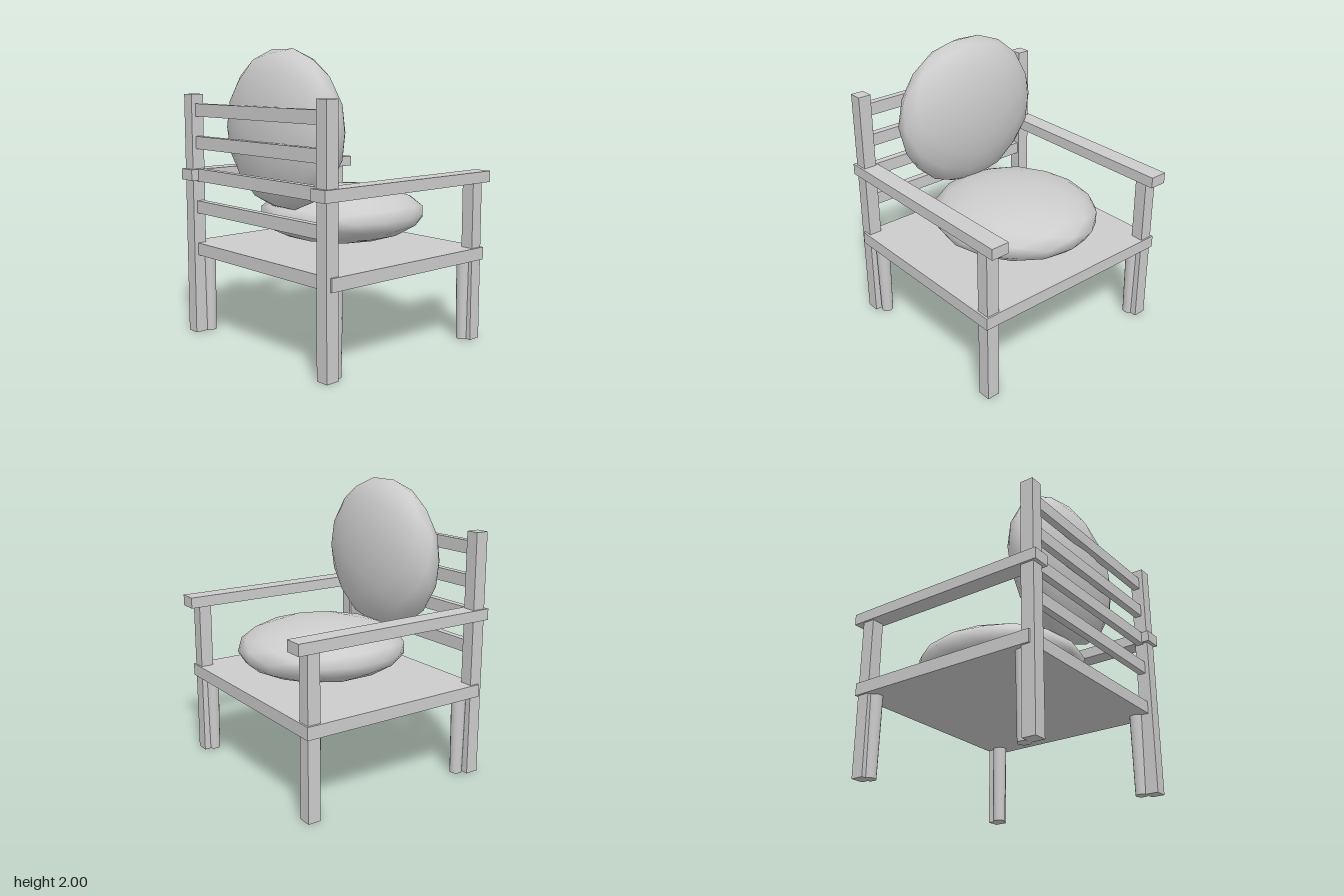
import * as THREE from 'three';

export function createModel() {
  const model = new THREE.Group();
  const paleGrey = new THREE.MeshStandardMaterial({ color: 0xcccccc });
  paleGrey.name = 'paleGrey';

  const add = (name, geometry, x, y, z) => {
    const mesh = new THREE.Mesh(geometry, paleGrey);
    mesh.name = name;
    mesh.position.set(x, y, z);
    model.add(mesh);
    return mesh;
  };
  // box given by its lower and upper limits on each axis
  const box = (name, [x0, x1], [y0, y1], [z0, z1]) =>
    add(name, new THREE.BoxGeometry(x1 - x0, y1 - y0, z1 - z0),
      (x0 + x1) / 2, (y0 + y1) / 2, (z0 + z1) / 2);

  // seat board
  box('seat', [-0.77, 0.77], [0.563, 0.65], [-0.697, 0.7]);

  // posts, arms and tapered round legs, mirrored left and right
  for (const s of [-1, 1]) {
    const side = s > 0 ? 'left' : 'right';
    const span = (a, b) => (s > 0 ? [a, b] : [-b, -a]);
    box(side + 'TallPost', span(0.663, 0.755), [0, 1.7], [0.636, 0.73]);
    box(side + 'ShortPost', span(0.663, 0.755), [0, 1.1], [-0.685, -0.595]);
    box(side + 'Arm', span(0.642, 0.77), [1.1, 1.177], [-0.755, 0.755]);
    for (const z of [-0.6, 0.6]) {
      add(side + 'RoundLeg', new THREE.CylinderGeometry(0.05, 0.042, 0.563, 16), s * 0.68, 0.2815, z);
    }
  }

  // horizontal slats of the backrest
  for (let i = 0; i < 4; i++) {
    const y = 0.865 + i * 0.227;
    box('backSlat', [-0.665, 0.665], [y, y + 0.088], [0.65, 0.7]);
  }

  // faceted-outline, smoothly shaded cushions
  const cushion = new THREE.IcosahedronGeometry(1, 2);
  add('seatCushion', cushion, 0, 0.873, -0.075).scale.set(0.565, 0.202, 0.597);
  add('backCushion', cushion, 0, 1.4765, 0.448).scale.set(0.565, 0.5345, 0.218);

  return model;
}
